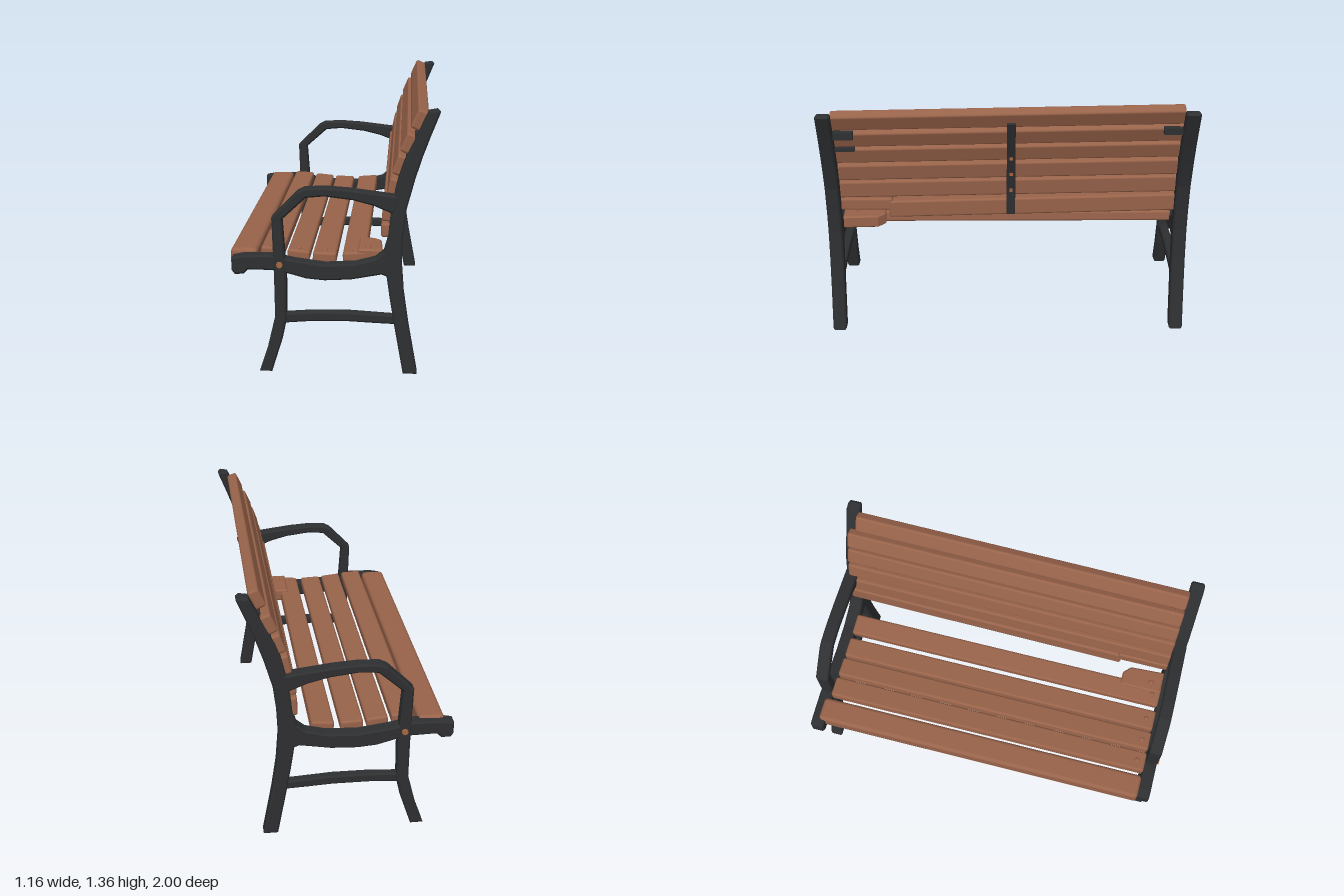
import * as THREE from 'three';
import { RoundedBoxGeometry } from 'three/addons/geometries/RoundedBoxGeometry.js';

const mat = (name, color) => {
  const m = new THREE.MeshStandardMaterial({ color });
  m.name = name;
  return m;
};

export function createModel() {
  const wood = mat('brown wood', 0x98634a);
  const iron = mat('black iron', 0x2e2f31);
  const copper = mat('copper bolt', 0xa5663f);

  const bench = new THREE.Group();
  bench.name = 'bench';

  const add = (parent, name, geo, material, x = 0, y = 0, z = 0) => {
    const mesh = new THREE.Mesh(geo, material);
    mesh.name = name;
    mesh.position.set(x, y, z);
    parent.add(mesh);
    return mesh;
  };

  // Side outline extruded across z, centred on z = 0, with soft edges
  const plate = (points, depth, bevel = 0.008) => {
    const shape = new THREE.Shape(points.map(([x, y]) => new THREE.Vector2(x, y)));
    const geo = new THREE.ExtrudeGeometry(shape, {
      depth: depth - 2 * bevel, bevelEnabled: bevel > 0, bevelThickness: bevel,
      bevelSize: bevel, bevelOffset: -bevel, bevelSegments: 1,
    });
    return geo.translate(0, 0, -depth / 2 + bevel);
  };

  // Back post, rear leg and seat rail in one casting
  const postAndRail = [
    [0.46, 1.325], [0.43, 1.26], [0.39, 1.17], [0.345, 1.08], [0.315, 0.99], [0.295, 0.9],
    [0.28, 0.8], [0.27, 0.7], [0.25, 0.63], [0.21, 0.595], [0.11, 0.568], [-0.04, 0.56],
    [-0.19, 0.58], [-0.31, 0.605], [-0.45, 0.6], [-0.5, 0.59], [-0.5, 0.525], [-0.485, 0.505],
    [-0.44, 0.507], [-0.42, 0.53], [-0.29, 0.528], [-0.21, 0.51], [-0.13, 0.488], [-0.04, 0.48],
    [0.09, 0.487], [0.24, 0.515], [0.265, 0.505], [0.28, 0.4], [0.305, 0.25], [0.35, 0],
    [0.42, 0], [0.375, 0.25], [0.35, 0.42], [0.338, 0.58], [0.343, 0.7], [0.36, 0.85],
    [0.4, 1.0], [0.435, 1.11], [0.47, 1.205], [0.515, 1.32], [0.5, 1.332],
  ];
  // Front leg bending over into the armrest
  const legAndArm = [
    [-0.368, 0], [-0.305, 0], [-0.255, 0.16], [-0.232, 0.27], [-0.23, 0.5], [-0.25, 0.785],
    [-0.13, 0.897], [-0.04, 0.905], [0.1, 0.888], [0.2, 0.862], [0.3, 0.82],
    [0.32, 0.91], [0.2, 0.925], [0.08, 0.94], [-0.04, 0.948], [-0.14, 0.943], [-0.175, 0.925],
    [-0.3, 0.795], [-0.29, 0.5], [-0.287, 0.29], [-0.325, 0.13],
  ];
  // Gently arched stretcher between the legs
  const stretcher = [
    [-0.27, 0.25], [-0.1, 0.264], [0.08, 0.266], [0.2, 0.26], [0.33, 0.255],
    [0.33, 0.3], [0.2, 0.308], [0.08, 0.315], [-0.1, 0.313], [-0.27, 0.3],
  ];
  for (const side of [1, -1]) {
    const frame = new THREE.Group();
    frame.name = side > 0 ? 'nearEndFrame' : 'farEndFrame';
    add(frame, 'postAndSeatRail', plate(postAndRail, 0.074), iron);
    add(frame, 'frontLegAndArmrest', plate(legAndArm, 0.07), iron, 0, 0, side * 0.005);
    add(frame, 'legStretcher', plate(stretcher, 0.05), iron);
    const bolt = add(frame, 'frameBolt', new THREE.CylinderGeometry(0.015, 0.017, 0.012, 10),
      copper, -0.262, 0.558, side * 0.043);
    bolt.rotation.x = side * Math.PI / 2;
    frame.position.z = side > 0 ? 0.945 : -0.94;
    if (side < 0) { // the far end is a little deeper and taller
      frame.scale.set(1.06, 1.01, 1);
      frame.position.x = -0.026;
    }
    bench.add(frame);
  }

  const slat = (name, w, h, z0, z1, x, y) => {
    const r = Math.min(w, h) * 0.22;
    return add(bench, name, new RoundedBoxGeometry(w, h, z1 - z0, 2, r), wood, x, y, (z0 + z1) / 2);
  };

  // Seat slats: x, top, width, thickness, lean
  const seat = [
    [-0.447, 0.62, 0.135, 0.1, 0], [-0.305, 0.628, 0.115, 0.06, -0.06],
    [-0.175, 0.614, 0.112, 0.06, -0.1], [-0.045, 0.604, 0.118, 0.06, -0.03],
    [0.105, 0.608, 0.118, 0.06, 0.08],
  ];
  seat.forEach(([x, top, w, t, lean], i) => {
    slat('seatSlat', w, t, i ? -0.91 : -0.94, 0.915, x, top - t / 2).rotation.z = lean;
    if (i) {
      add(bench, 'seatBolt', new THREE.SphereGeometry(0.016, 10, 6).scale(1, 0.5, 1), wood,
        x, top, 0.87);
    }
  });

  // Short rear seat slat with a clipped corner, at the near end only
  const stub = plate([[0.12, 0.68], [0.195, 0.68], [0.235, 0.72], [0.245, 0.912], [0.12, 0.912]], 0.07);
  stub.rotateX(Math.PI / 2);
  add(bench, 'rearSeatStub', stub, wood, 0, 0.588, 0);
  add(bench, 'seatBolt', new THREE.SphereGeometry(0.016, 10, 6).scale(1, 0.5, 1), wood, 0.17, 0.624, 0.85);

  // Back slats: x, y, lean
  const back = [
    [0.418, 1.287, 0.42], [0.367, 1.172, 0.4], [0.327, 1.063, 0.33],
    [0.296, 0.948, 0.2], [0.27, 0.833, 0.1], [0.263, 0.713, 0.03],
  ];
  back.forEach(([x, y, lean], i) => {
    const last = i === back.length - 1;
    const z0 = i === 0 ? -0.91 : -0.955;
    const s = slat('backSlat', 0.058, 0.1, z0, last ? 0.65 : 0.915, x, y);
    s.rotation.set(last ? 0.025 : 0.018, 0, -lean);
  });
  // Worn narrow end of the lowest back slat
  slat('lowestSlatEnd', 0.055, 0.07, 0.63, 0.915, 0.262, 0.722);

  // Iron strap following the rear of the back slats
  const line = [[0.436, 1.265], [0.402, 1.17], [0.362, 1.063], [0.328, 0.948], [0.302, 0.833], [0.295, 0.68]];
  const strap = [...line, ...line.map(([x, y]) => [x + 0.022, y - 0.004]).reverse()];
  add(bench, 'backStrap', plate(strap, 0.046, 0.003), iron, 0, 0, -0.015);
  for (const [x, y] of [[0.374, 1.035], [0.347, 0.93], [0.323, 0.825]]) {
    add(bench, 'strapBolt', new THREE.BoxGeometry(0.012, 0.018, 0.018), copper, x, y, -0.015);
  }

  // Small brackets joining the slats to the posts
  for (const [x, y, z, h] of [[0.412, 1.185, 0.86, 0.04], [0.37, 1.09, 0.86, 0.02], [0.415, 1.21, -0.86, 0.035]]) {
    add(bench, 'slatBracket', new THREE.BoxGeometry(0.035, h, 0.11), iron, x, y, z);
  }

  // The bench stands slightly turned
  bench.rotation.y = 0.045;
  const model = new THREE.Group();
  model.name = 'parkBench';
  model.add(bench);
  return model;
}
